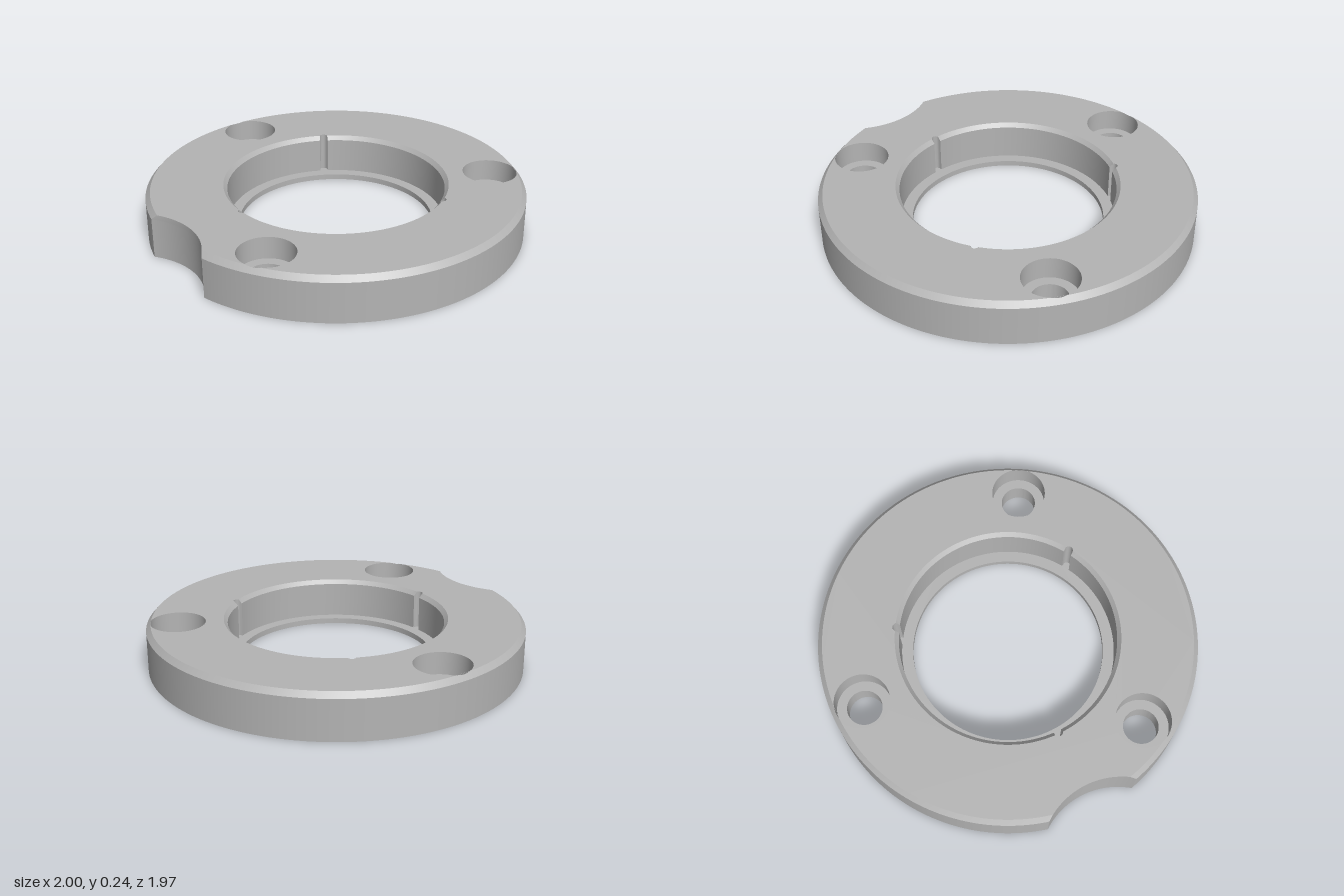
import * as THREE from 'three';
import { toCreasedNormals } from 'three/addons/utils/BufferGeometryUtils.js';

const TOP = 0.243, RIM = 0.215, SEAT = 0.03, FLOOR = 0.125, RECESS = 0.015;
const R_OUT = 1, R_TOP = 0.975;                  // outer radius, and radius above the chamfer
const R_LIP = 0.515, R_BORE = 0.575, R_MOUTH = 0.595;
const HOLE_AT = 0.834, R_HOLE = 0.093, R_SINK = 0.145;
const GROOVE_AT = 0.588, R_GROOVE = 0.022;
const NOTCH_AT = 1.305, R_NOTCH = 0.415;
const holeAngles = [Math.PI / 3, Math.PI, -Math.PI / 3];
const grooveAngles = [Math.PI / 6, Math.PI * 5 / 6, Math.PI * 3 / 2];

const point = (r, a, y) => new THREE.Vector3(r * Math.cos(a), y, -r * Math.sin(a));
const circle = (r, y, n = 128) => Array.from({ length: n }, (_, i) => point(r, i / n * Math.PI * 2, y));
const wrap = (a) => Math.atan2(Math.sin(a), Math.cos(a));

// Far radius of a small circle at distance d, seen at an angle off its direction
function farRadius(d, r, off) {
  const q = r * r - (d * Math.sin(off)) ** 2;
  return Math.cos(off) > 0 && q >= -1e-9 ? d * Math.cos(off) + Math.sqrt(Math.max(q, 0)) : 0;
}
const chamferY = (r) => TOP - Math.max(0, r - R_TOP) * (TOP - RIM) / (R_OUT - R_TOP);

// Outer outline with the concave front notch; bite follows screw sinks that cut the chamfer
function outline(R, y, bite = false) {
  const v = (R * R + NOTCH_AT ** 2 - R_NOTCH ** 2) / (2 * NOTCH_AT);
  const phi = Math.acos(v / R), beta = Math.asin(R * Math.sin(phi) / R_NOTCH);
  const pts = [];
  for (let i = 0; i <= 360; i++) {
    const a = -Math.PI / 2 + phi + i / 360 * (Math.PI * 2 - 2 * phi);
    let r = R;
    if (bite) for (const h of holeAngles) r = Math.max(r, farRadius(HOLE_AT, R_SINK, wrap(a - h)));
    pts.push(point(r, a, bite ? chamferY(r) : y));
  }
  for (let i = 1; i < 32; i++) {
    const t = Math.PI / 2 + beta * (1 - i / 16);
    pts.push(new THREE.Vector3(R_NOTCH * Math.cos(t), y, NOTCH_AT - R_NOTCH * Math.sin(t)));
  }
  return pts;
}

// Bore outline with three small round key grooves
const boreAngles = [];
for (let i = 0; i < 144; i++) {
  const a = i / 144 * Math.PI * 2;
  if (grooveAngles.every((g) => Math.abs(wrap(a - g)) > 0.04)) boreAngles.push(a);
}
for (const g of grooveAngles) {
  const half = Math.asin(R_GROOVE / GROOVE_AT);
  boreAngles.push(g - half - 0.0004, g + half + 0.0004);
  for (let k = 0; k <= 10; k++) {
    boreAngles.push(g + Math.asin(R_GROOVE / GROOVE_AT * Math.sin((k / 10 - 0.5) * Math.PI)));
  }
}
boreAngles.sort((a, b) => a - b);
const boreLoop = (r, y) => boreAngles.map((a) => {
  const g = Math.max(...grooveAngles.map((d) => farRadius(GROOVE_AT, R_GROOVE, wrap(a - d))));
  return point(Math.max(r, g), a, y);
});

// Screw hole loop; its upper edge drops where it meets the chamfer
function holeLoop(h, r, y) {
  const c = point(HOLE_AT, h, 0);
  return circle(r, y, 64).map((p) => {
    p.x += c.x;
    p.z += c.z;
    p.y = Math.min(y, chamferY(Math.hypot(p.x, p.z)));
    return p;
  });
}

// Wall through loops: bottom to top faces outward, top to bottom faces inward
function loft(loops) {
  const n = loops[0].length, pos = [], index = [];
  loops.forEach((l) => l.forEach((p) => pos.push(p.x, p.y, p.z)));
  for (let k = 0; k + 1 < loops.length; k++) {
    for (let i = 0; i < n; i++) {
      const a = k * n + i, b = k * n + (i + 1) % n;
      index.push(a, b, b + n, a, b + n, a + n);
    }
  }
  const geo = new THREE.BufferGeometry();
  geo.setAttribute('position', new THREE.Float32BufferAttribute(pos, 3));
  geo.setIndex(index);
  return toCreasedNormals(geo, 0.5);
}

// Flat face at height y with holes, facing up or down
function flat(outer, holes, y, up) {
  const to2 = (l) => l.map((p) => new THREE.Vector2(p.x, -p.z));
  const shape = new THREE.Shape(to2(outer));
  holes.forEach((h) => shape.holes.push(new THREE.Path(to2(h))));
  const geo = new THREE.ShapeGeometry(shape);
  geo.rotateX(-Math.PI / 2).translate(0, y, 0);
  if (!up) geo.setIndex(Array.from(geo.index.array).reverse());
  return toCreasedNormals(geo, 0.5);
}

// Keep a hole edge just inside the top face
const clampLoop = (loop) => loop.map((p) => {
  const s = Math.min(1, (R_TOP - 0.0008) / Math.hypot(p.x, p.z));
  return new THREE.Vector3(p.x * s, p.y, p.z * s);
});

export function createModel() {
  const group = new THREE.Group();
  group.name = 'flangeRing';
  const metal = new THREE.MeshStandardMaterial({ color: 0xb4b4b4 });
  metal.name = 'grey metal';
  const add = (name, geo, parent = group) => {
    const mesh = new THREE.Mesh(geo, metal);
    mesh.name = name;
    parent.add(mesh);
  };

  // Ring body
  add('outerWall', loft([outline(R_OUT, 0), outline(R_OUT, RIM)]));
  add('outerChamfer', loft([outline(R_OUT, RIM), outline(R_TOP, TOP, true)]));
  add('topFace', flat(outline(R_TOP, TOP),
    [boreLoop(R_MOUTH, TOP), ...holeAngles.map((h) => clampLoop(holeLoop(h, R_SINK, TOP)))], TOP, true));
  add('bottomFace', flat(outline(R_OUT, 0),
    [circle(R_LIP, 0), ...holeAngles.map((h) => holeLoop(h, R_SINK, 0))], 0, false));

  // Stepped centre bore
  add('boreWall', loft([boreLoop(R_MOUTH, TOP), boreLoop(R_BORE, TOP - 0.022), boreLoop(R_BORE, SEAT)]));
  add('boreSeat', flat(boreLoop(R_BORE, SEAT), [circle(R_LIP, SEAT)], SEAT, true));
  add('boreLip', loft([circle(R_LIP, SEAT), circle(R_LIP, 0)]));

  // Screw holes, sunk deep on top and shallow underneath
  for (const h of holeAngles) {
    const hole = new THREE.Group();
    hole.name = 'screwHole';
    group.add(hole);
    const big = (y) => holeLoop(h, R_SINK, y), small = (y) => holeLoop(h, R_HOLE, y);
    add('sinkWall', loft([big(TOP), big(FLOOR)]), hole);
    add('sinkFloor', flat(big(FLOOR), [small(FLOOR)], FLOOR, true), hole);
    add('holeWall', loft([small(FLOOR), small(RECESS)]), hole);
    add('recessFace', flat(big(RECESS), [small(RECESS)], RECESS, false), hole);
    add('recessWall', loft([big(RECESS), big(0)]), hole);
  }

  group.position.z = 0.015;
  return group;
}
